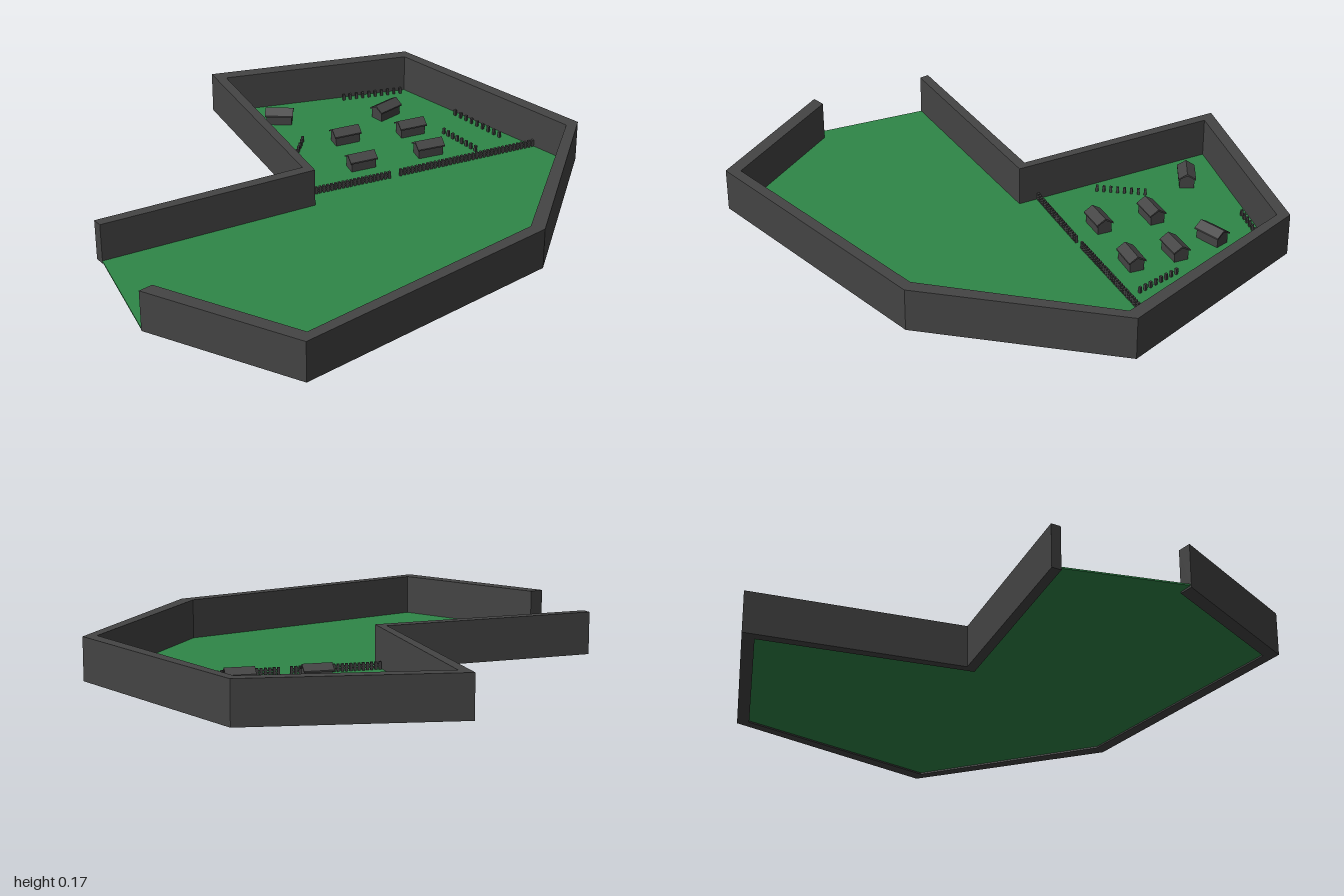
import * as THREE from 'three';

const mat = (name, color, side = THREE.FrontSide) =>
  Object.assign(new THREE.MeshStandardMaterial({ color, side }), { name });

// Flat outline in (x, z), raised from y0 to y1
function slab(points, y0, y1) {
  const shape = new THREE.Shape(points.map(([x, z]) => new THREE.Vector2(x, z)));
  const geo = new THREE.ExtrudeGeometry(shape, { depth: y1 - y0, bevelEnabled: false });
  return geo.rotateX(Math.PI / 2).translate(0, y1, 0);
}

// Profile in (z, y), extruded along x and centred
function along(profile, length) {
  const shape = new THREE.Shape(profile.map(([z, y]) => new THREE.Vector2(z, y)));
  const geo = new THREE.ExtrudeGeometry(shape, { depth: length, bevelEnabled: false });
  return geo.translate(0, 0, -length / 2).rotateY(Math.PI / 2);
}

export function createModel() {
  const root = new THREE.Group();
  root.name = 'walledVillage';
  const stone = mat('stone grey', 0x444444);
  const grass = mat('grass green', 0x2f8648);
  const FLOOR = 0.012;

  const add = (parent, name, geo, material) => {
    const mesh = new THREE.Mesh(geo, material);
    mesh.name = name;
    parent.add(mesh);
    return mesh;
  };

  // Perimeter wall, open on the left-hand side of the plan
  const outer = [[-1, -0.05], [-0.15, -0.115], [-0.215, -0.98], [0.615, -0.86],
    [1, -0.025], [0.505, 0.645], [-0.565, 0.97], [-0.99, 0.46]];
  const inner = [[-0.99, -0.012], [-0.113, -0.077], [-0.17, -0.925], [0.593, -0.815],
    [0.945, -0.02], [0.465, 0.607], [-0.54, 0.917], [-0.935, 0.442]];
  add(root, 'perimeterWall', slab([...outer, ...[...inner].reverse()], 0, 0.17), stone);

  // Ground fills the inside and runs out to the opening
  add(root, 'ground', slab([...inner, [-0.99, 0.457]], 0.006, FLOOR), grass);

  // Houses: body with an overhanging gable roof
  const bodyGeo = along([[-0.029, 0], [0.029, 0], [0.029, 0.042], [0, 0.06], [-0.029, 0.042]], 0.104);
  const roofGeo = along([[-0.035, 0.038], [0, 0.058], [0.035, 0.038], [0.035, 0.044],
    [0, 0.066], [-0.035, 0.044]], 0.116);
  const houses = [[0, -0.757, -0.44], [0.43, -0.637, 0.35], [0.19, -0.502, 0],
    [0.463, -0.46, 0], [0.168, -0.285, 0], [0.46, -0.277, -0.03]];
  houses.forEach(([x, z, turn], i) => {
    const house = new THREE.Group();
    house.name = `house${i + 1}`;
    add(house, 'houseBody', bodyGeo, stone);
    add(house, 'houseRoof', roofGeo, stone);
    house.position.set(x, FLOOR, z);
    house.rotation.y = turn;
    root.add(house);
  });

  // Rows of posts from a to b, with optional rails
  function postRow(name, a, b, count, size, height, rails) {
    const row = new THREE.Group();
    row.name = name;
    const dx = b[0] - a[0], dz = b[1] - a[1];
    const turn = -Math.atan2(dz, dx);
    const geo = new THREE.BoxGeometry(size, height, size);
    for (let i = 0; i < count; i++) {
      const t = i / (count - 1);
      const post = add(row, 'post', geo, stone);
      post.position.set(a[0] + dx * t, FLOOR + height / 2, a[1] + dz * t);
      post.rotation.y = turn;
    }
    for (const y of rails) {
      const rail = add(row, 'rail', new THREE.BoxGeometry(Math.hypot(dx, dz), 0.005, 0.008), stone);
      rail.position.set(a[0] + dx / 2, FLOOR + y, a[1] + dz / 2);
      rail.rotation.y = turn;
    }
    root.add(row);
  }

  // Village fence, split by a gate gap
  postRow('fenceWest', [-0.11, -0.158], [0.235, -0.157], 22, 0.01, 0.03, [0.01, 0.02]);
  postRow('fenceEast', [0.285, -0.158], [0.875, -0.166], 36, 0.01, 0.03, [0.01, 0.02]);

  // Loose rows of garden posts
  postRow('postsWest', [-0.08, -0.4], [0.025, -0.56], 8, 0.01, 0.025, []);
  postRow('postsNorth', [0.32, -0.83], [0.565, -0.795], 10, 0.01, 0.025, []);
  postRow('postsMiddle', [0.588, -0.4], [0.645, -0.22], 8, 0.01, 0.025, []);
  postRow('postsEast', [0.698, -0.525], [0.785, -0.285], 9, 0.01, 0.025, []);

  return root;
}
